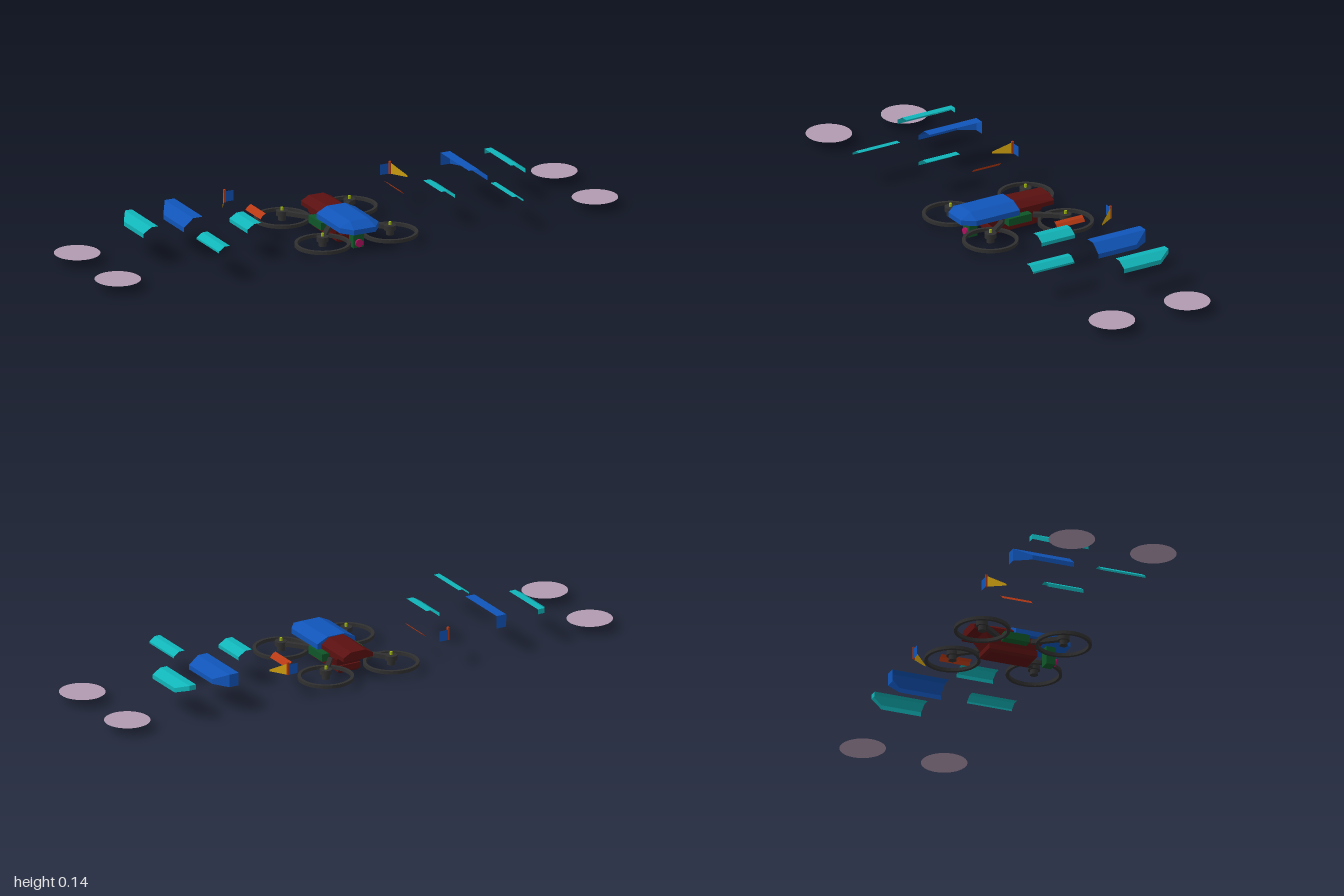
import * as THREE from 'three';
import { ConvexGeometry } from 'three/addons/geometries/ConvexGeometry.js';

const mat = (color, flat = true) => new THREE.MeshStandardMaterial({ color, flatShading: flat, side: THREE.DoubleSide });
const RED = mat(0x5a1010), BLUE = mat(0x1054b8), CYAN = mat(0x10b4b8), GREEN = mat(0x0f5528);
const DARK = mat(0x303030), ROUND = mat(0x303030, false), ORANGE = mat(0xb83a14);
const YELLOW = mat(0xd0a010), SHAFT = mat(0x9ab010, false), LENS = mat(0xb01060, false), DISC = mat(0xb29ab2);

export function createModel() {
  const model = new THREE.Group();

  const add = (name, geometry, material, x = 0, y = 0, z = 0) => {
    const mesh = new THREE.Mesh(geometry, material);
    mesh.name = name;
    mesh.position.set(x, y, z);
    model.add(mesh);
    return mesh;
  };

  // Convex body from half sections [halfWidth, y, z], mirrored in x
  const hull = (name, pts, material) => add(name, new ConvexGeometry(
    pts.flatMap(([x, y, z]) => [new THREE.Vector3(x, y, z), new THREE.Vector3(-x, y, z)])), material);

  // Flat convex polygons joined in one thin mesh
  const sheet = (name, polys, side, material) => {
    const pos = [];
    for (const p of polys)
      for (let i = 1; i < p.length - 1; i++)
        for (const [x, y, z] of [p[0], p[i], p[i + 1]]) pos.push(x * side, y, z);
    const g = new THREE.BufferGeometry();
    g.setAttribute('position', new THREE.Float32BufferAttribute(pos, 3));
    g.computeVertexNormals();
    return add(name, g, material);
  };

  // Folded shell: profile points [x, y, zBack, zFront], optional rear closing face
  const shell = (name, prof, side, material, capY) => {
    const polys = [];
    for (let i = 0; i < prof.length - 1; i++) {
      const [a, b] = [prof[i], prof[i + 1]];
      polys.push([[a[0], a[1], a[2]], [b[0], b[1], b[2]], [b[0], b[1], b[3]], [a[0], a[1], a[3]]]);
    }
    if (capY !== undefined) {
      const [a, b, c, d] = prof.map(p => p.slice(0, 3));
      polys.push([a, b, [b[0], capY, b[2]], [a[0], capY, a[2]]]);
      polys.push([b, c, d, [b[0], capY, b[2]]]);
    }
    return sheet(name, polys, side, material);
  };

  // Fuselage
  hull('bellyPod', [
    [0.035, 0, 0.075], [0.035, 0, -0.09], [0.045, 0.008, 0.083], [0.045, 0.008, -0.097],
    [0.045, 0.028, 0.083], [0.045, 0.028, -0.097]], RED);
  hull('midBody', [
    [0.045, 0.028, 0.075], [0.045, 0.028, -0.09], [0.055, 0.057, 0.1], [0.055, 0.057, -0.105],
    [0.055, 0.067, 0.1], [0.055, 0.067, -0.115]], RED);
  hull('rearBody', [
    [0.058, 0.067, -0.01], [0.058, 0.067, -0.158], [0.058, 0.082, -0.01], [0.058, 0.082, -0.158],
    [0.028, 0.104, -0.01], [0.028, 0.098, -0.158]], RED);
  hull('canopy', [
    [0.075, 0.067, -0.01], [0.075, 0.086, -0.01], [0.035, 0.106, -0.01],
    [0.075, 0.067, 0.165], [0.075, 0.086, 0.165], [0.035, 0.105, 0.165],
    [0.042, 0.067, 0.206], [0.042, 0.085, 0.206]], BLUE);
  add('sideModule', new THREE.BoxGeometry(0.164, 0.027, 0.093), GREEN, 0, 0.052, -0.008);

  // Nose camera
  add('noseCamera', new THREE.BoxGeometry(0.04, 0.066, 0.034), GREEN, 0, 0.035, 0.143);
  add('cameraLens', new THREE.CylinderGeometry(0.014, 0.014, 0.01, 20).rotateX(Math.PI / 2), LENS, 0, 0.019, 0.163);

  // Rotor guard section
  const ringProfile = [[0.086, -0.006], [0.097, -0.006], [0.097, 0.006], [0.086, 0.006], [0.086, -0.006]]
    .map(([r, y]) => new THREE.Vector2(r, y));

  for (const side of [1, -1]) {
    for (const z of [0.143, -0.16]) {
      const x = side * 0.13, end = z > 0 ? 0.052 : -0.072;
      add('rotorGuard', new THREE.LatheGeometry(ringProfile, 40), DARK, x, 0.03, z);
      add('motor', new THREE.CylinderGeometry(0.021, 0.021, 0.017, 20), ROUND, x, 0.05, z);
      add('motorBase', new THREE.CylinderGeometry(0.014, 0.014, 0.018, 16), ROUND, x, 0.033, z);
      add('motorShaft', new THREE.CylinderGeometry(0.005, 0.005, 0.012, 12), SHAFT, x, 0.064, z);

      // Arm from motor to body
      const dx = side * 0.06 - x, dz = end - z;
      const arm = add('arm', new THREE.BoxGeometry(0.016, 0.015, Math.hypot(dx, dz)), DARK, x + dx / 2, 0.05, z + dz / 2);
      arm.rotation.y = Math.atan2(dx, dz);

      // Separated rotor disc
      add('rotorDisc', new THREE.CircleGeometry(0.08, 40).rotateX(-Math.PI / 2), DISC, side * 0.92, 0.032, z);
    }

    // Separated armour panels
    shell('rearOuterPanel', [
      [0.68, 0.133, -0.217, -0.02], [0.706, 0.133, -0.217, -0.02],
      [0.736, 0.114, -0.168, -0.02], [0.736, 0.098, -0.168, -0.02]], side, CYAN, 0.115);
    shell('rearSidePanel', [
      [0.513, 0.144, -0.222, -0.01], [0.55, 0.144, -0.222, -0.01],
      [0.585, 0.115, -0.165, -0.01], [0.585, 0.098, -0.165, -0.01]], side, BLUE, 0.098);
    shell('middlePanel', [
      [0.347, 0.13, -0.03, 0.104], [0.373, 0.13, -0.03, 0.104],
      [0.4, 0.113, -0.03, 0.104], [0.4, 0.1, -0.03, 0.104]], side, CYAN);
    shell('frontPanel', [
      [0.545, 0.126, 0.088, 0.255], [0.566, 0.126, 0.088, 0.255],
      [0.587, 0.111, 0.088, 0.255], [0.587, 0.104, 0.088, 0.255]], side, CYAN);
    shell('sideStrip', [
      [0.257, 0.106, -0.147, -0.035], [0.268, 0.1, -0.147, -0.035],
      [0.278, 0.088, -0.147, -0.035]], side, ORANGE);

    // Separated tail pieces
    sheet('tailPlate', [[[0.283, 0.098, -0.227], [0.32, 0.098, -0.227], [0.32, 0.136, -0.227], [0.283, 0.136, -0.227]]], side, BLUE);
    sheet('tailFin', [[[0.32, 0.098, -0.225], [0.357, 0.098, -0.165], [0.357, 0.104, -0.165], [0.32, 0.14, -0.225]]], side, YELLOW);
    add('tailStrip', new THREE.BoxGeometry(0.007, 0.046, 0.008), ORANGE, side * 0.319, 0.121, -0.224);
  }
  return model;
}
